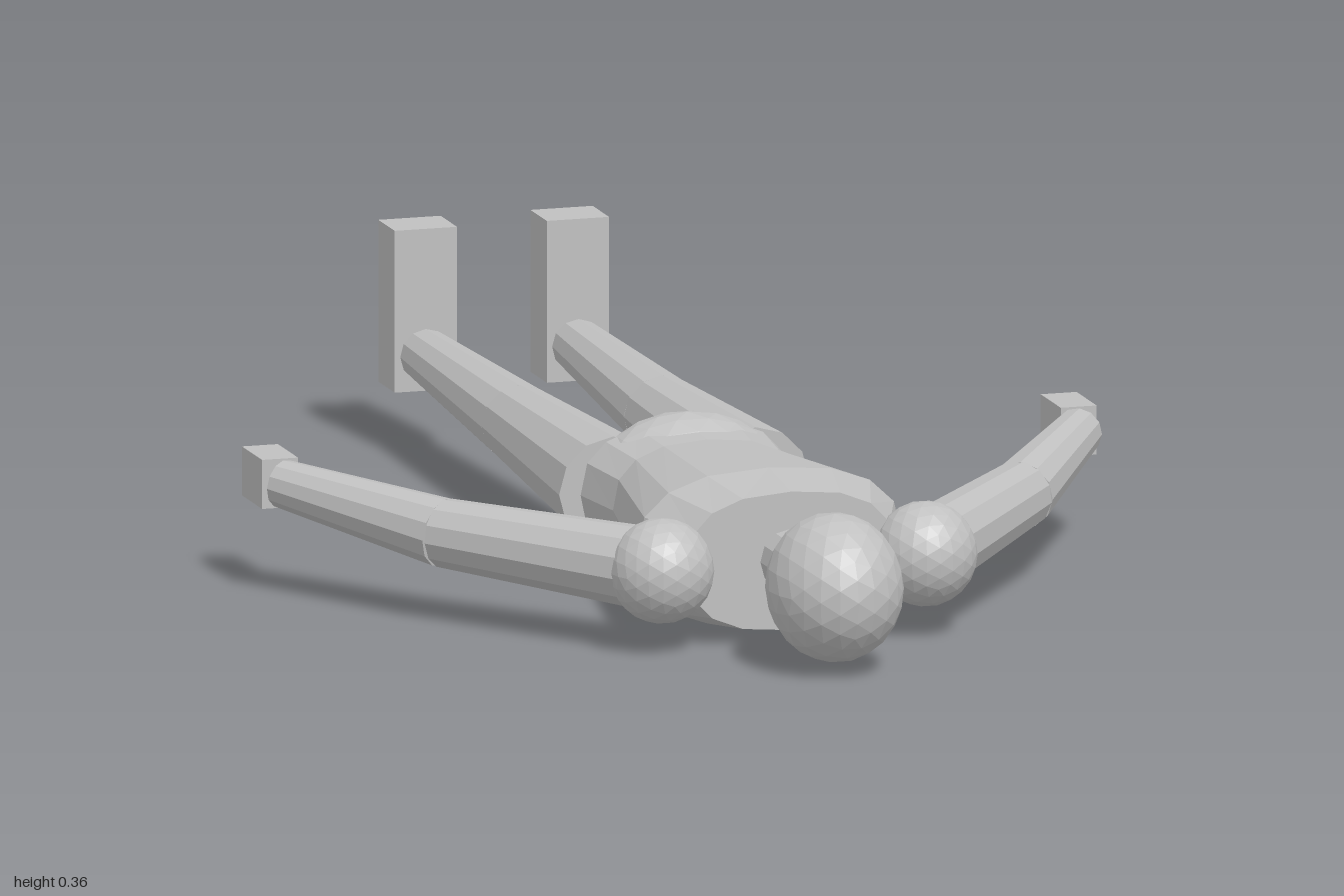
import * as THREE from 'three';

// A simple jointed mannequin lying on its back, head towards +z.
export function createModel() {
  const model = new THREE.Group();
  model.name = 'mannequin';
  const grey = new THREE.MeshStandardMaterial({ color: 0xc0c0c0, flatShading: true });
  grey.name = 'plain grey';

  const add = (name, geometry, x = 0, y = 0, z = 0) => {
    const mesh = new THREE.Mesh(geometry, grey);
    mesh.name = name;
    mesh.position.set(x, y, z);
    model.add(mesh);
    return mesh;
  };

  // faceted ellipsoid
  const ball = (name, rx, ry, rz, x, y, z) =>
    add(name, new THREE.IcosahedronGeometry(1, 3).scale(rx, ry, rz), x, y, z);

  // tapered round segment between two points
  const limb = (name, a, ra, b, rb) => {
    const from = new THREE.Vector3(...a), to = new THREE.Vector3(...b);
    const dir = to.clone().sub(from);
    const mesh = add(name, new THREE.CylinderGeometry(rb, ra, dir.length(), 12));
    mesh.position.copy(from).addScaledVector(dir, 0.5);
    mesh.quaternion.setFromUnitVectors(new THREE.Vector3(0, 1, 0), dir.normalize());
  };

  // torso: rounded-oval sections as [z, half width, half depth]
  const sections = [
    [0.64, 0.175, 0.113],
    [0.52, 0.222, 0.128],
    [0.19, 0.158, 0.106],
    [0.065, 0.173, 0.112],
  ];
  const torso = new THREE.CylinderGeometry(1, 1, 1, 16, sections.length - 1);
  const p = torso.attributes.position;
  const soften = (v) => Math.sign(v) * Math.abs(v) ** 0.8;
  for (let i = 0; i < p.count; i++) {
    const [z, w, d] = sections[Math.round((0.5 - p.getY(i)) * (sections.length - 1))];
    p.setXYZ(i, w * soften(p.getX(i)), -d * soften(p.getZ(i)), z);
  }
  torso.computeVertexNormals();
  add('torso', torso, 0, 0.132, 0);

  // head, neck and pelvis
  ball('head', 0.109, 0.12, 0.13, 0, 0.136, 0.87);
  limb('neck', [0, 0.133, 0.62], 0.052, [0, 0.133, 0.77], 0.052);
  ball('pelvis', 0.165, 0.13, 0.118, 0, 0.131, 0.08);

  // arms and legs, mirrored
  for (const [side, s] of [['left', 1], ['right', -1]]) {
    const shoulder = [s * 0.22, 0.132, 0.65];
    const elbow = [s * 0.48, 0.143, 0.32];
    const wrist = [s * 0.665, 0.179, 0.045];
    ball(side + 'Shoulder', 0.084, 0.085, 0.084, ...shoulder);
    limb(side + 'UpperArm', shoulder, 0.068, elbow, 0.056);
    limb(side + 'Forearm', elbow, 0.056, wrist, 0.039);
    add(side + 'Hand', new THREE.BoxGeometry(0.06, 0.08, 0.108), s * 0.667, 0.178, -0.015);

    const hip = [s * 0.119, 0.135, 0.065];
    const knee = [s * 0.119, 0.143, -0.435];
    const ankle = [s * 0.127, 0.158, -0.912];
    limb(side + 'Thigh', hip, 0.09, knee, 0.064);
    limb(side + 'Shin', knee, 0.064, ankle, 0.043);
    add(side + 'Foot', new THREE.BoxGeometry(0.104, 0.264, 0.088), s * 0.127, 0.232, -0.956);
  }
  return model;
}
